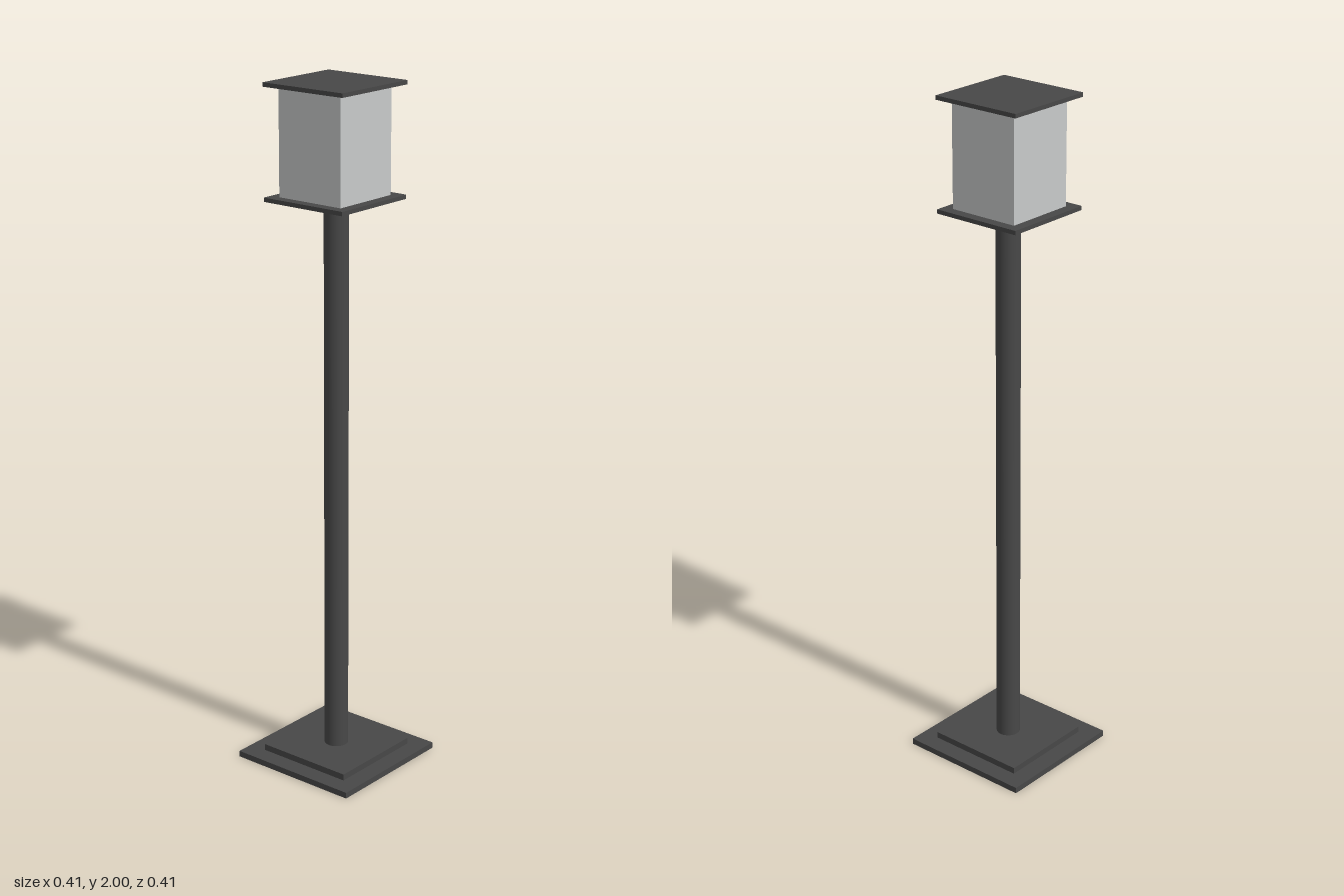
import * as THREE from 'three';

export function createModel() {
  const model = new THREE.Group();
  const metal = new THREE.MeshStandardMaterial({ color: 0x484848 });
  metal.name = 'darkMetal';
  const glass = new THREE.MeshStandardMaterial({ color: 0xc8caca });
  glass.name = 'paleGlass';

  const add = (parent, name, geometry, material, x, y, z) => {
    const mesh = new THREE.Mesh(geometry, material);
    mesh.name = name;
    mesh.position.set(x, y, z);
    parent.add(mesh);
  };
  // square plate spanning bottom..top
  const plate = (parent, name, size, bottom, top, material) =>
    add(parent, name, new THREE.BoxGeometry(size, top - bottom, size), material, 0, (bottom + top) / 2, 0);

  // stepped foot
  plate(model, 'basePlate', 0.408, 0, 0.018, metal);
  plate(model, 'baseStep', 0.302, 0.018, 0.037, metal);

  // round post
  add(model, 'post', new THREE.CylinderGeometry(0.035, 0.035, 1.64, 32), metal, 0, 0.857, 0);

  // lantern head, set slightly off the post axis
  const lantern = new THREE.Group();
  lantern.name = 'lantern';
  lantern.position.set(-0.006, 0, -0.002);
  plate(lantern, 'lanternFloor', 0.276, 1.674, 1.686, metal);
  plate(lantern, 'lanternGlass', 0.216, 1.686, 1.988, glass);
  plate(lantern, 'lanternRoof', 0.276, 1.988, 2, metal);
  model.add(lantern);

  return model;
}
